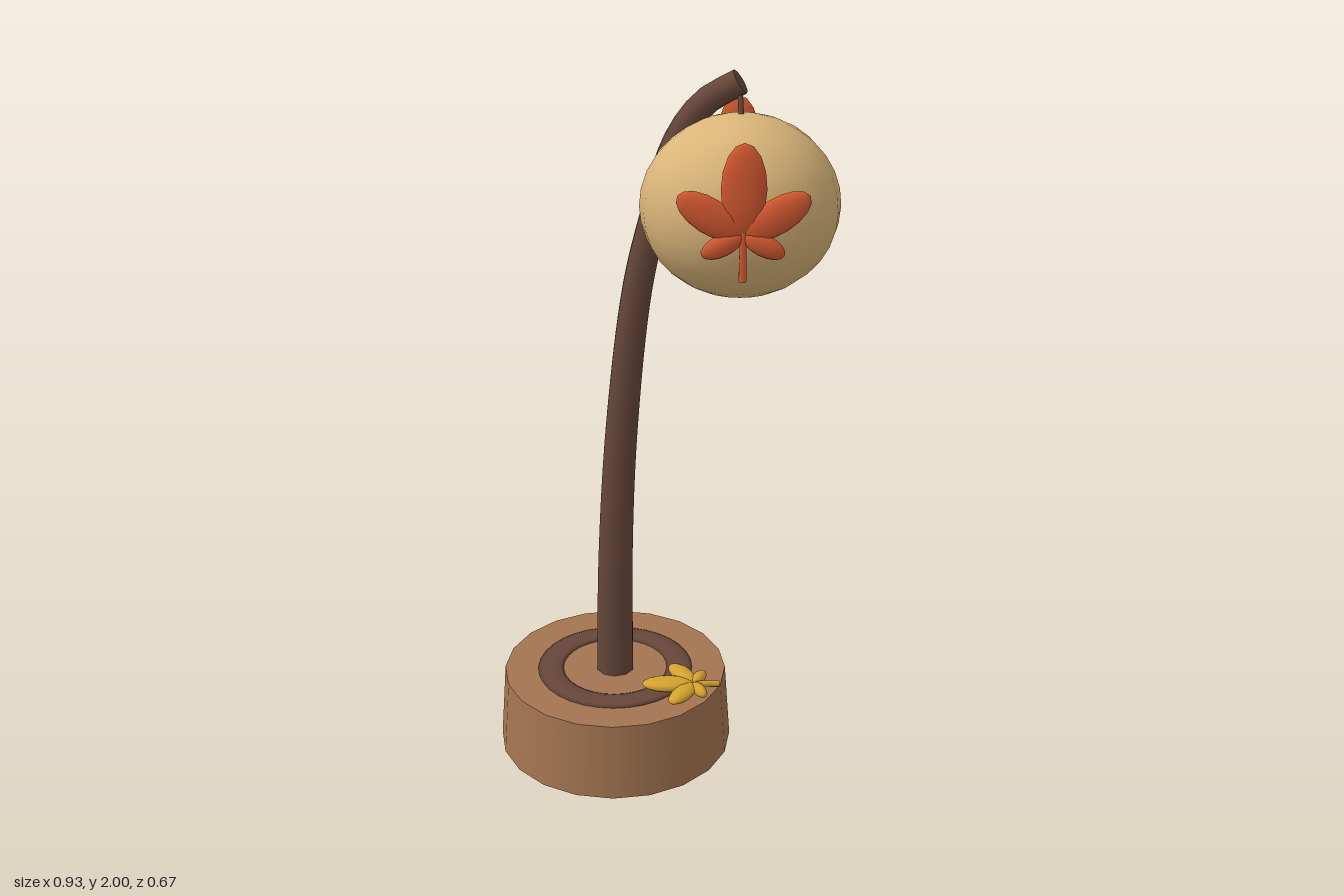
import * as THREE from 'three';

const mat = (name, color) => {
  const m = new THREE.MeshStandardMaterial({ color });
  m.name = name;
  return m;
};

export function createModel() {
  const wood = mat('base wood', 0xa47551);
  const bark = mat('dark bark', 0x664639);
  const shade = mat('cream shade', 0xd9b579);
  const orange = mat('orange leaf', 0xd65a31);
  const yellow = mat('yellow leaf', 0xd4a32f);

  const model = new THREE.Group();
  model.name = 'leafLamp';
  const add = (parent, name, geometry, material, x = 0, y = 0, z = 0) => {
    const mesh = new THREE.Mesh(geometry, material);
    mesh.name = name;
    mesh.position.set(x, y, z);
    parent.add(mesh);
    return mesh;
  };

  // Round wooden foot with a flat ring set into its top
  const cx = -0.132;
  add(model, 'base', new THREE.CylinderGeometry(0.32, 0.336, 0.226, 20), wood, cx, 0.113, 0);
  const ring = add(model, 'baseRing', new THREE.TorusGeometry(0.187, 0.037, 8, 32), bark, cx, 0.226, 0);
  ring.rotation.x = -Math.PI / 2;
  ring.scale.z = 0.2;

  // Tapering branch that bends through the shade and out above it
  const path = new THREE.CatmullRomCurve3([
    [-0.132, 0.2, 0], [-0.127, 0.6, 0], [-0.106, 1.0, 0.002], [-0.062, 1.4, 0.004],
    [-0.018, 1.6, 0.006], [0.038, 1.8, 0.012], [0.11, 1.91, 0.024], [0.202, 1.97, 0.038],
  ].map((p) => new THREE.Vector3(...p)));
  const steps = 40, sides = 10;
  const r0 = 0.055, r1 = 0.034;
  const branch = new THREE.TubeGeometry(path, steps, 1, sides);
  const pos = branch.attributes.position;
  const v = new THREE.Vector3();
  for (let i = 0; i <= steps; i++) {
    const c = path.getPointAt(i / steps);
    const r = THREE.MathUtils.lerp(r0, r1, i / steps);
    for (let j = 0; j <= sides; j++) {
      const k = i * (sides + 1) + j;
      v.fromBufferAttribute(pos, k).sub(c).multiplyScalar(r).add(c);
      pos.setXYZ(k, v.x, v.y, v.z);
    }
  }
  add(model, 'branch', branch, bark);
  const tip = path.getPointAt(1);
  const cap = add(model, 'branchTip', new THREE.CircleGeometry(r1, sides), bark, tip.x, tip.y, tip.z);
  cap.lookAt(tip.clone().add(path.getTangentAt(1)));

  // Short cord from the branch tip to the shade
  const cord = new THREE.LineCurve3(new THREE.Vector3(0.2, 1.96, 0.04), new THREE.Vector3(0.205, 1.88, 0.07));
  add(model, 'cord', new THREE.TubeGeometry(cord, 1, 0.007, 6), bark);

  // Oval shade
  const globe = add(model, 'shade', new THREE.SphereGeometry(1, 20, 16), shade, 0.205, 1.655, 0.075);
  globe.scale.set(0.26, 0.24, 0.217);

  // Five-lobed leaf in the xy plane, its stem meeting the lobes at the origin
  const lobeShape = new THREE.SphereGeometry(1, 10, 8);
  const makeLeaf = (name, material) => {
    const leaf = new THREE.Group();
    leaf.name = name;
    const lobe = (x, y, length, width, angle) => {
      const m = add(leaf, 'lobe', lobeShape, material, x, y, 0);
      m.scale.set(width, length, 0.017);
      m.rotation.z = angle;
    };
    lobe(0, 0.108, 0.118, 0.057, 0);
    for (const s of [-1, 1]) {
      lobe(s * 0.083, 0.04, 0.096, 0.046, -s * 0.98);
      lobe(s * 0.052, -0.036, 0.058, 0.029, -s * 2.05);
    }
    add(leaf, 'stem', new THREE.CylinderGeometry(0.009, 0.011, 0.13, 6), material, 0, -0.065, 0);
    model.add(leaf);
    return leaf;
  };

  makeLeaf('frontLeaf', orange).position.set(0.205, 1.66, 0.3);
  makeLeaf('backLeaf', orange).position.set(0.205, 1.66, -0.15);

  // Small fallen leaf lying on the base
  const fallen = makeLeaf('fallenLeaf', yellow);
  fallen.position.set(0.088, 0.25, 0.132);
  fallen.rotation.set(-Math.PI / 2, 0, Math.PI / 2);
  fallen.scale.set(0.62, 0.62, 1);

  return model;
}
